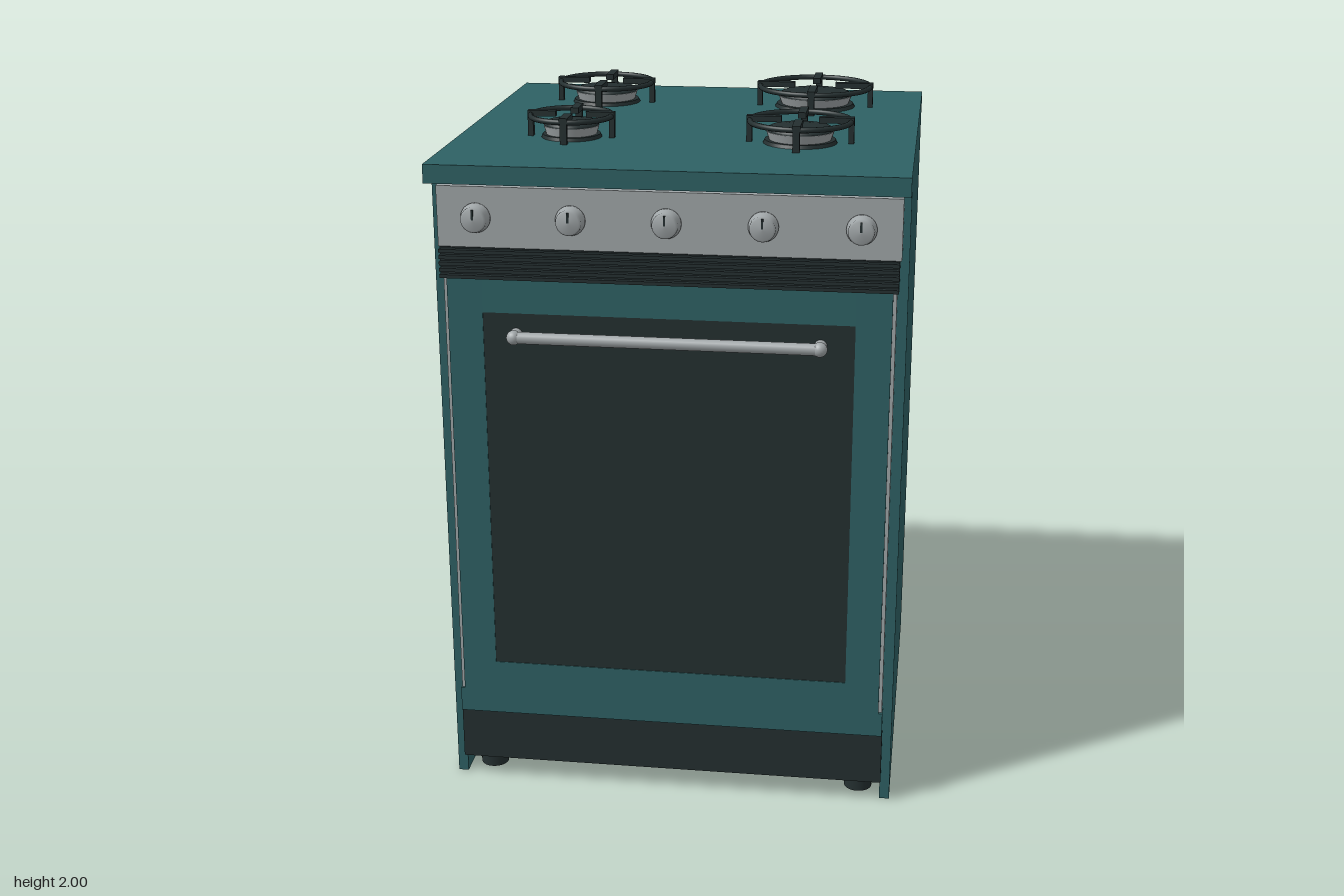
import * as THREE from 'three';

export function createModel() {
  const mat = (name, color) => {
    const m = new THREE.MeshStandardMaterial({ color });
    m.name = name;
    return m;
  };
  const teal = mat('teal enamel', 0x2e6164);
  const dark = mat('dark enamel', 0x242f30);
  const steel = mat('light steel', 0xa0a6a8);

  const stove = new THREE.Group();
  stove.name = 'stove';

  const add = (name, geo, material, x = 0, y = 0, z = 0, parent = stove) => {
    const mesh = new THREE.Mesh(geo, material);
    mesh.name = name;
    mesh.position.set(x, y, z);
    parent.add(mesh);
    return mesh;
  };
  // Box given by its limits on each axis
  const block = (name, material, x0, x1, y0, y1, z0, z1, parent = stove) =>
    add(name, new THREE.BoxGeometry(x1 - x0, y1 - y0, z1 - z0), material,
      (x0 + x1) / 2, (y0 + y1) / 2, (z0 + z1) / 2, parent);

  // Cabinet
  block('worktop', teal, -0.665, 0.665, 1.872, 1.925, -0.665, 0.665);
  for (const s of [-1, 1]) {
    const x = s * 0.65;
    block('sidePanel', teal, x - 0.015, x + 0.015, 0, 1.872, -0.63, 0.575);
  }
  block('backPanel', steel, -0.635, 0.635, 0.01, 1.872, -0.625, -0.61);
  block('floor', teal, -0.635, 0.635, 0.055, 0.07, -0.61, 0.575);
  block('frontCarcass', teal, -0.635, 0.635, 0.07, 1.872, 0.55, 0.575);

  // Feet
  for (const x of [-0.567, 0.567]) {
    for (const z of [-0.53, 0.5]) {
      add('foot', new THREE.CylinderGeometry(0.042, 0.042, 0.056, 24), dark, x, 0.028, z);
    }
  }

  // Control panel with five knobs
  block('controlPanel', steel, -0.645, 0.645, 1.683, 1.855, 0.575, 0.61);
  const knobProfile = [[0, 0], [0.042, 0], [0.042, 0.008], [0.037, 0.012], [0.036, 0.034], [0.03, 0.041], [0, 0.044]]
    .map(([r, y]) => new THREE.Vector2(r, y));
  const knobGeo = new THREE.LatheGeometry(knobProfile, 32);
  for (let i = -2; i <= 2; i++) {
    const x = i * 0.267;
    add('knob', knobGeo, steel, x, 1.768, 0.61).rotation.x = Math.PI / 2;
    block('knobMark', dark, x - 0.003, x + 0.003, 1.77, 1.798, 0.648, 0.655);
  }

  // Slotted vents: a backing plate with projecting ribs
  const vent = (name, halfWidth, y0, y1, zBase, zPlate, zRib, ribs) => {
    const g = new THREE.Group();
    g.name = name;
    stove.add(g);
    const span = (a, b) => [Math.min(a, b), Math.max(a, b)];
    block('ventPlate', dark, -halfWidth, halfWidth, y0, y1, ...span(zBase, zPlate), g);
    const pitch = (y1 - y0) / ribs;
    for (let i = 0; i < ribs; i++) {
      const y = y0 + (i + 0.5) * pitch;
      block('ventRib', dark, -halfWidth, halfWidth, y - pitch * 0.28, y + pitch * 0.28,
        ...span(zPlate, zRib), g);
    }
  };
  vent('frontVent', 0.64, 1.592, 1.683, 0.575, 0.615, 0.631, 5);
  vent('backVent', 0.467, 1.548, 1.655, -0.625, -0.648, -0.662, 6);

  // Oven door
  block('doorLiner', steel, -0.635, 0.635, 0.305, 1.592, 0.575, 0.604);
  for (const s of [-1, 1]) {
    const x = s * 0.575;
    block('doorStile', teal, x - 0.05, x + 0.05, 0.305, 1.592, 0.604, 0.612);
  }
  block('doorTopRail', teal, -0.525, 0.525, 1.495, 1.592, 0.604, 0.612);
  block('doorBottomRail', teal, -0.525, 0.525, 0.305, 0.4, 0.604, 0.612);
  block('doorGlass', dark, -0.525, 0.525, 0.4, 1.495, 0.604, 0.61);

  // Door handle
  add('handleBar', new THREE.CylinderGeometry(0.017, 0.017, 0.86, 20), steel, 0, 1.434, 0.645)
    .rotation.z = Math.PI / 2;
  for (const x of [-0.43, 0.43]) {
    add('handleEnd', new THREE.SphereGeometry(0.021, 20, 14), steel, x, 1.434, 0.645);
    add('handlePost', new THREE.CylinderGeometry(0.014, 0.018, 0.036, 16), steel, x, 1.434, 0.627)
      .rotation.x = Math.PI / 2;
  }

  // Plinth strip and drawer front
  block('lowerStrip', teal, -0.637, 0.637, 0.23, 0.305, 0.575, 0.612);
  block('drawerFront', dark, -0.638, 0.638, 0.068, 0.23, 0.575, 0.602);

  // Back panel screws
  for (const x of [-0.575, 0.575]) {
    for (const y of [0.22, 1.7]) {
      add('screw', new THREE.CylinderGeometry(0.007, 0.007, 0.004, 12), steel, x, y, -0.626)
        .rotation.x = Math.PI / 2;
    }
  }

  // Burner with pan support, sized by the outer radius of the support
  const burner = (x, z, R) => {
    const g = new THREE.Group();
    g.name = 'burner';
    g.position.set(x, 1.925, z);
    stove.add(g);
    add('burnerBase', new THREE.CylinderGeometry(R * 0.66, R * 0.69, 0.01, 40), dark, 0, 0.005, 0, g);
    add('burnerBody', new THREE.CylinderGeometry(R * 0.635, R * 0.58, 0.025, 40), steel, 0, 0.0225, 0, g);
    const cap = [[R * 0.62, 0.035], [R * 0.62, 0.041], [R * 0.56, 0.046], [R * 0.3, 0.051], [0, 0.053]]
      .map(([r, y]) => new THREE.Vector2(r, y));
    add('burnerCap', new THREE.LatheGeometry(cap, 40), dark, 0, 0, 0, g);
    add('supportRing', new THREE.TorusGeometry(R - 0.009, 0.008, 10, 48), dark, 0, 0.062, 0, g)
      .rotation.x = Math.PI / 2;
    for (let i = 0; i < 4; i++) {
      const arm = new THREE.Group();
      arm.name = 'supportArm';
      arm.rotation.y = i * Math.PI / 2;
      g.add(arm);
      block('finger', dark, R * 0.35, R, 0.058, 0.075, -0.012, 0.012, arm);
      block('leg', dark, R - 0.016, R, 0, 0.058, -0.01, 0.01, arm);
    }
  };
  burner(-0.335, -0.363, 0.155);
  burner(0.333, -0.363, 0.182);
  burner(-0.335, 0.225, 0.128);
  burner(0.333, 0.225, 0.155);

  return stove;
}
